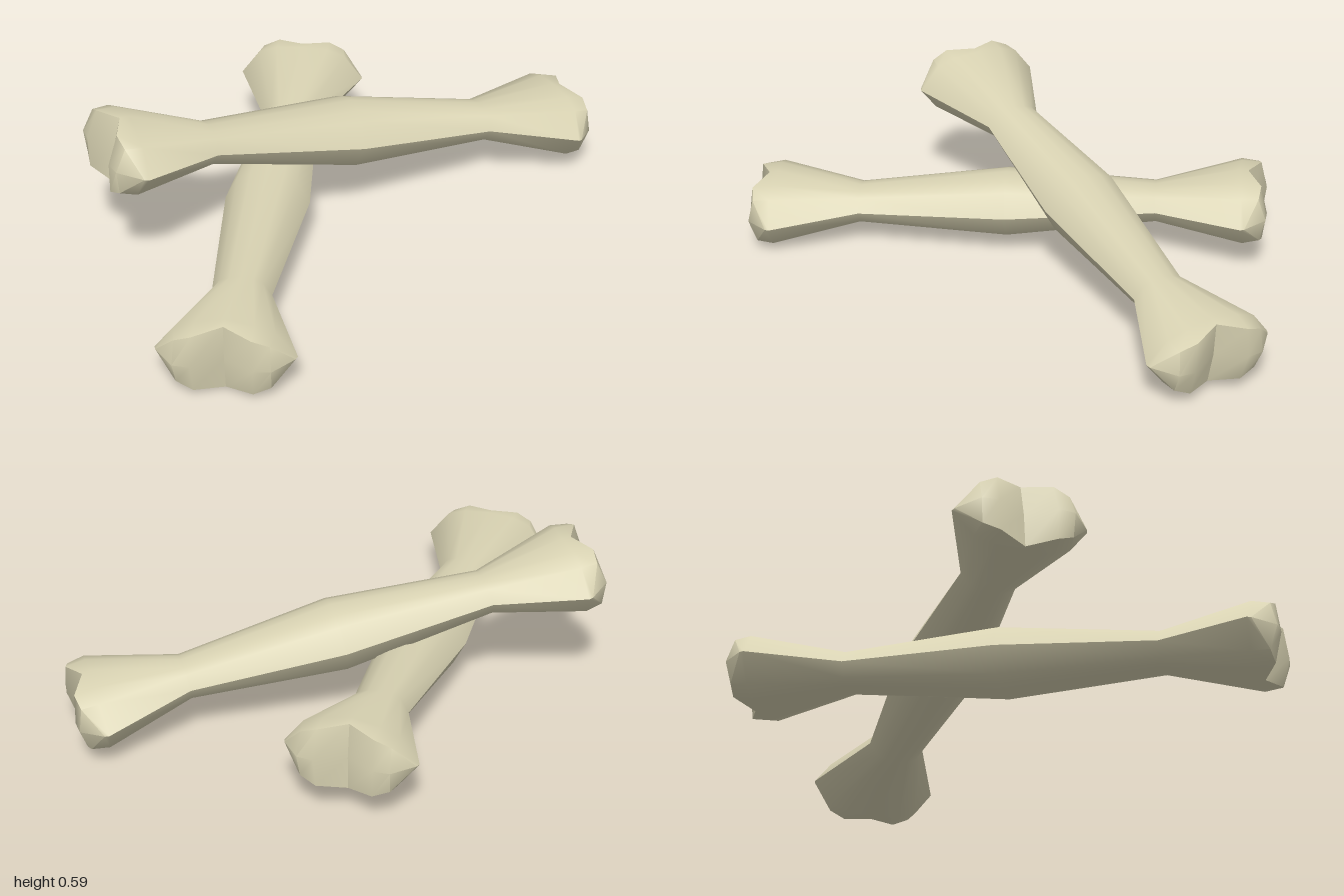
import * as THREE from 'three';
import { toCreasedNormals } from 'three/addons/utils/BufferGeometryUtils.js';

// One quarter of a cross-section, as [width, height] points from side to top
const quarter = [[1, 0], [0.71, 0.71], [0.4, 0.88], [0, 1]];
const section = (w, h, z) => quarter.map(([a, b]) => [a * w, b * h, z]);

// Quarter sections from the middle of the shaft out to the end of the knuckles
const half = [
  section(0.155, 0.125, 0),
  section(0.105, 0.07, 0.565),
  [[0.24, 0, 0.885], [0.17, 0.092, 0.89], [0.1, 0.118, 0.89], [0, 0.13, 0.88]],
  [[0.235, 0, 0.9], [0.16, 0.085, 0.953], [0.1, 0.11, 0.963], [0, 0.125, 0.915]],
  // the end face closes on a line across the two lobes, with a notch between
  [[0.235, 0, 0.9], [0.165, 0, 0.978], [0.105, 0, 0.983], [0, 0, 0.925]],
];

// Mirror a quarter into a full loop of 12 points
function loop(q, side) {
  const pts = [];
  for (let k = 0; k < 12; k++) {
    const quad = Math.floor(k / 3), r = k % 3;
    const [x, y, z] = q[quad % 2 ? 3 - r : r];
    const sx = quad === 1 || quad === 2 ? -1 : 1;
    const sy = quad >= 2 ? -1 : 1;
    pts.push(new THREE.Vector3(x * sx, y * sy, z * side));
  }
  return pts;
}

function boneGeometry() {
  const rings = [
    ...half.slice(1).reverse().map((q) => loop(q, -1)),
    ...half.map((q) => loop(q, 1)),
  ];
  const pos = [];
  const tri = (a, b, c) => {
    const area = b.clone().sub(a).cross(c.clone().sub(a)).length();
    if (area > 1e-7) for (const p of [a, b, c]) pos.push(p.x, p.y, p.z);
  };
  for (let i = 0; i < rings.length - 1; i++) {
    for (let j = 0; j < 12; j++) {
      const k = (j + 1) % 12;
      const a = rings[i][j], b = rings[i][k], c = rings[i + 1][k], d = rings[i + 1][j];
      tri(a, b, c);
      tri(a, c, d);
    }
  }
  const geo = new THREE.BufferGeometry();
  geo.setAttribute('position', new THREE.Float32BufferAttribute(pos, 3));
  return toCreasedNormals(geo, 0.85);
}

export function createModel() {
  const group = new THREE.Group();
  group.name = 'crossedBones';
  const bone = new THREE.MeshStandardMaterial({ color: 0xd8d2b2 });
  bone.name = 'bone';
  const geo = boneGeometry();

  // Each bone is placed by its centre and the direction of its shaft
  const addBone = (name, centre, dir) => {
    const mesh = new THREE.Mesh(geo, bone);
    mesh.name = name;
    mesh.position.set(...centre);
    mesh.lookAt(new THREE.Vector3(...centre).add(new THREE.Vector3(...dir)));
    group.add(mesh);
  };
  addBone('upperBone', [0.02, 0.3125, -0.1425], [1.76, -0.295, -0.125]);
  addBone('lowerBone', [-0.347, 0.175, 0], [0.875, 0.09, -1.56]);
  return group;
}
